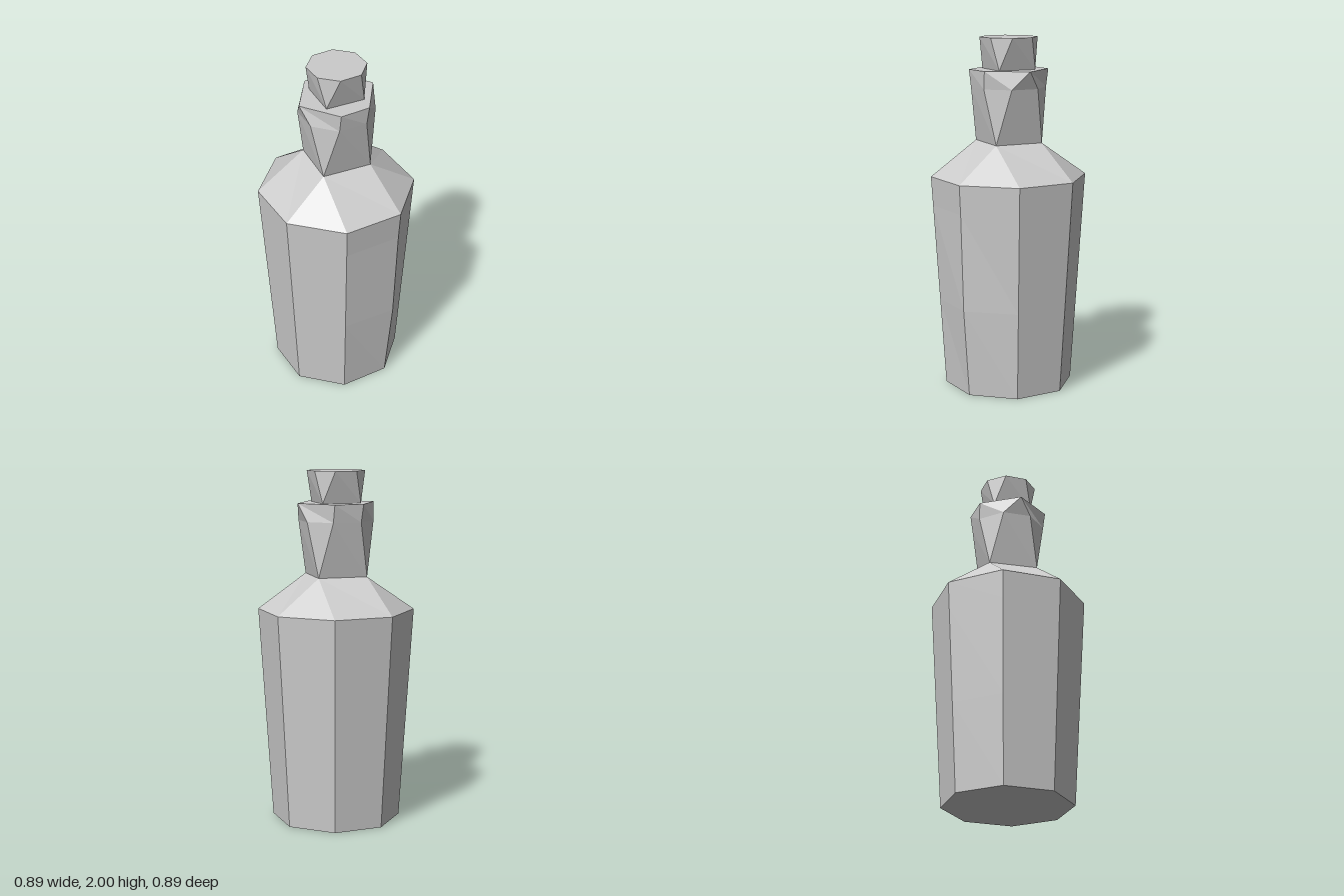
import * as THREE from 'three';

const material = new THREE.MeshStandardMaterial({ color: 0xcccccc, flatShading: true });

// Ring of n corners, counted from the front (+z) towards +x
function ring(n, r, y, turn = 0) {
  return Array.from({ length: n }, (_, k) => {
    const a = THREE.MathUtils.degToRad(turn + (360 * k) / n);
    return [r * Math.sin(a), y, r * Math.cos(a)];
  });
}

// Faceted wall between two rings; pairs list which corners are joined, going round
function wall(out, low, high, pairs) {
  pairs.forEach(([l0, u0], i) => {
    const [l1, u1] = pairs[(i + 1) % pairs.length];
    if (l0 !== l1) out.push(...low[l0], ...low[l1], ...high[u0]);
    if (u0 !== u1) out.push(...low[l1], ...high[u1], ...high[u0]);
  });
}

// Flat lid closing a ring
function cap(out, pts, up) {
  for (let i = 1; i < pts.length - 1; i++) {
    out.push(...pts[0], ...(up ? pts[i] : pts[i + 1]), ...(up ? pts[i + 1] : pts[i]));
  }
}

function part(name, build) {
  const out = [];
  build(out);
  const geometry = new THREE.BufferGeometry();
  geometry.setAttribute('position', new THREE.Float32BufferAttribute(out, 3));
  geometry.computeVertexNormals();
  const mesh = new THREE.Mesh(geometry, material);
  mesh.name = name;
  return mesh;
}

const eight = [0, 1, 2, 3, 4, 5, 6, 7];
const same = eight.map((k) => [k, k]);
const eightToFour = eight.map((k) => [k, k >> 1]);
const fourToEight = eight.map((k) => [k >> 1, k]);
const eightToSix = [0, 1, 1, 2, 3, 4, 4, 5].map((u, k) => [k, u]);

export function createModel() {
  const group = new THREE.Group();
  group.name = 'bottle';

  // Tapered octagonal body, its front edge bulging slightly
  const body = [0, 0.5, 1.05, 1.216].map((y) => ring(8, 0.367 + (0.077 * y) / 1.216, y));
  body[1][0][2] = 0.413;
  const shoulderTop = ring(4, 0.199, 1.41, 17);
  group.add(part('body', (out) => {
    cap(out, body[0], false);
    for (let i = 0; i < 3; i++) wall(out, body[i], body[i + 1], same);
  }));

  // Shoulder narrowing from eight corners to four
  group.add(part('shoulder', (out) => wall(out, body[3], shoulderTop, eightToFour)));

  // Neck flaring from four corners to eight, then to a six-sided rim
  const flare = ring(8, 0.212, 1.72, -3);
  const rim = [
    [0, 1.82, 0.22], [0.215, 1.82, 0.085], [0.161, 1.82, -0.157],
    [0, 1.82, -0.22], [-0.215, 1.82, -0.085], [-0.161, 1.82, 0.156],
  ];
  group.add(part('neck', (out) => {
    wall(out, shoulderTop, flare, fourToEight);
    wall(out, flare, rim, eightToSix);
    cap(out, rim, true);
  }));

  // Cut stopper widening from four corners to eight
  const stopperBase = ring(4, 0.157, 1.82, 18);
  const stopperTop = ring(8, 0.164, 2);
  group.add(part('stopper', (out) => {
    wall(out, stopperBase, stopperTop, fourToEight);
    cap(out, stopperTop, true);
  }));

  return group;
}
